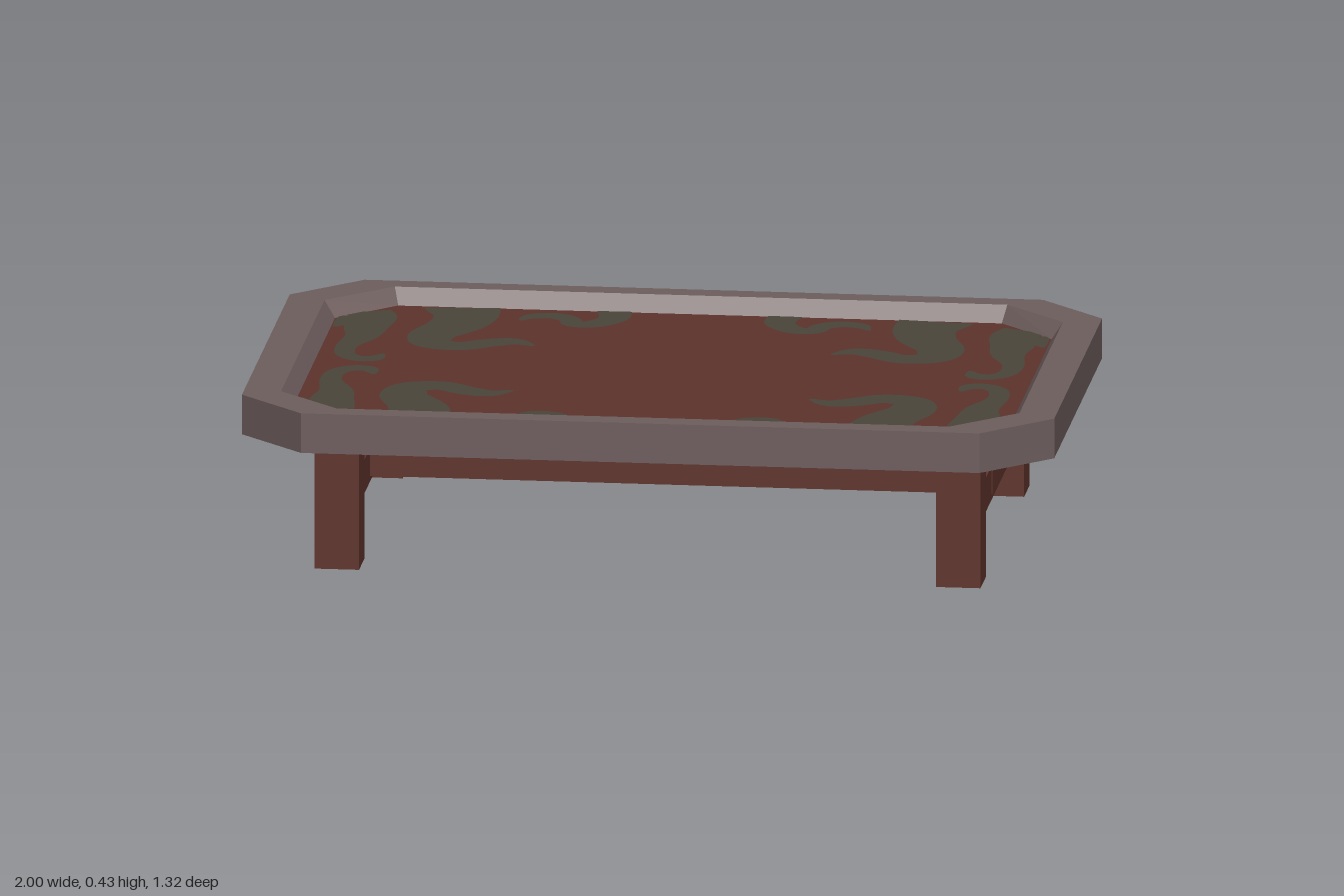
import * as THREE from 'three';

const mat = (name, color, side = THREE.FrontSide) => {
  const m = new THREE.MeshStandardMaterial({ color, side });
  m.name = name;
  return m;
};

// Octagon corners: half sizes (hx, hz), with cut corners ending at (cx, cz)
const octagon = (hx, hz, cx, cz) => [
  [hx, cz], [cx, hz], [-cx, hz], [-hx, cz],
  [-hx, -cz], [-cx, -hz], [cx, -hz], [hx, -cz],
];

// Flat-shaded skin through a series of rings, each { y, pts }
function skin(rings) {
  const pos = [];
  for (let r = 0; r < rings.length - 1; r++) {
    const a = rings[r], b = rings[r + 1], n = a.pts.length;
    for (let i = 0; i < n; i++) {
      const j = (i + 1) % n;
      const p = (ring, k) => [ring.pts[k][0], ring.y, ring.pts[k][1]];
      pos.push(...p(a, i), ...p(b, i), ...p(b, j), ...p(a, i), ...p(b, j), ...p(a, j));
    }
  }
  const g = new THREE.BufferGeometry();
  g.setAttribute('position', new THREE.Float32BufferAttribute(pos, 3));
  g.computeVertexNormals();
  return g;
}

// Flat horizontal polygon
function flat(points) {
  const shape = new THREE.Shape(points.map(([x, z]) => new THREE.Vector2(x, -z)));
  return new THREE.ShapeGeometry(shape).rotateX(-Math.PI / 2);
}

// Tapering curved band; each stop is [x, z, width]
function band(stops, sx, sz) {
  const curve = new THREE.CatmullRomCurve3(
    stops.map(([x, z, w]) => new THREE.Vector3(x, w, z)), false, 'catmullrom', 0.5);
  const left = [], right = [], steps = (stops.length - 1) * 5;
  for (let i = 0; i <= steps; i++) {
    const p = curve.getPoint(i / steps), t = curve.getTangent(i / steps);
    const len = Math.hypot(t.x, t.z), h = Math.max(p.y, 0.006) / 2;
    const nx = -t.z / len * h, nz = t.x / len * h;
    const clampZ = (z) => Math.min(z, 0.579);
    left.push([sx * (p.x + nx), sz * clampZ(p.z + nz)]);
    right.unshift([sx * (p.x - nx), sz * clampZ(p.z - nz)]);
  }
  return flat([...left, ...right]);
}

const SWIRLS = {
  largeSwirl: [[0.585, 0.58, 0.19], [0.565, 0.49, 0.16], [0.58, 0.40, 0.145], [0.625, 0.30, 0.12],
    [0.615, 0.22, 0.10], [0.545, 0.195, 0.08], [0.48, 0.235, 0.075], [0.42, 0.255, 0.06], [0.365, 0.22, 0.01]],
  smallSwirl: [[0.21, 0.58, 0.085], [0.205, 0.51, 0.075], [0.245, 0.45, 0.065], [0.295, 0.445, 0.055],
    [0.312, 0.49, 0.055], [0.355, 0.518, 0.055], [0.405, 0.505, 0.045], [0.43, 0.465, 0.01]],
  sideSwirl: [[0.81, 0.507, 0.12], [0.785, 0.45, 0.11], [0.795, 0.36, 0.11], [0.795, 0.27, 0.085],
    [0.82, 0.17, 0.055], [0.815, 0.09, 0.05], [0.78, 0.048, 0.05], [0.74, 0.055, 0.05], [0.722, 0.10, 0.01]],
  sideSpur: [[0.842, 0.455, 0.06], [0.855, 0.40, 0.05], [0.872, 0.35, 0.01]],
};

export function createModel() {
  const model = new THREE.Group();
  model.name = 'lowTable';
  const rimMat = mat('greyTrim', 0x6f5e5e, THREE.DoubleSide);
  const panelMat = mat('redWood', 0x5d332c, THREE.DoubleSide);
  const swirlMat = mat('olivePaint', 0x4b4539, THREE.DoubleSide);
  const legMat = mat('legWood', 0x60342b);

  const add = (name, geometry, material, x = 0, y = 0, z = 0) => {
    const mesh = new THREE.Mesh(geometry, material);
    mesh.name = name;
    mesh.position.set(x, y, z);
    model.add(mesh);
  };

  // Rim: an open shell with outer wall, flat top and sloped inner edge
  const panelY = 0.388;
  const outer = octagon(1, 0.66, 0.835, 0.495);
  const inner = octagon(0.909, 0.602, 0.754, 0.45);
  const panel = octagon(0.882, 0.58, 0.743, 0.44);
  add('rim', skin([
    { y: 0.33, pts: outer }, { y: 0.43, pts: outer },
    { y: 0.43, pts: inner }, { y: panelY, pts: panel },
  ]), rimMat);

  // Sunken top panel, with painted swirls mirrored in four quarters on both faces
  add('topPanel', flat(panel), panelMat, 0, panelY);
  for (const sx of [1, -1]) for (const sz of [1, -1]) {
    for (const [name, stops] of Object.entries(SWIRLS)) {
      const g = band(stops, sx, sz);
      add(name, g, swirlMat, 0, panelY + 0.002);
      add(name + 'Underside', g, swirlMat, 0, panelY - 0.002);
    }
    // Legs
    add('leg', new THREE.BoxGeometry(0.11, 0.384, 0.114), legMat, sx * 0.765, 0.192, sz * 0.452);
  }

  // Stretchers
  for (const sx of [1, -1]) {
    add('sideStretcher', new THREE.BoxGeometry(0.05, 0.085, 0.79), legMat, sx * 0.765, 0.142, 0);
  }
  add('longStretcher', new THREE.BoxGeometry(1.584, 0.057, 0.055), legMat, 0, 0.142, 0);

  return model;
}
